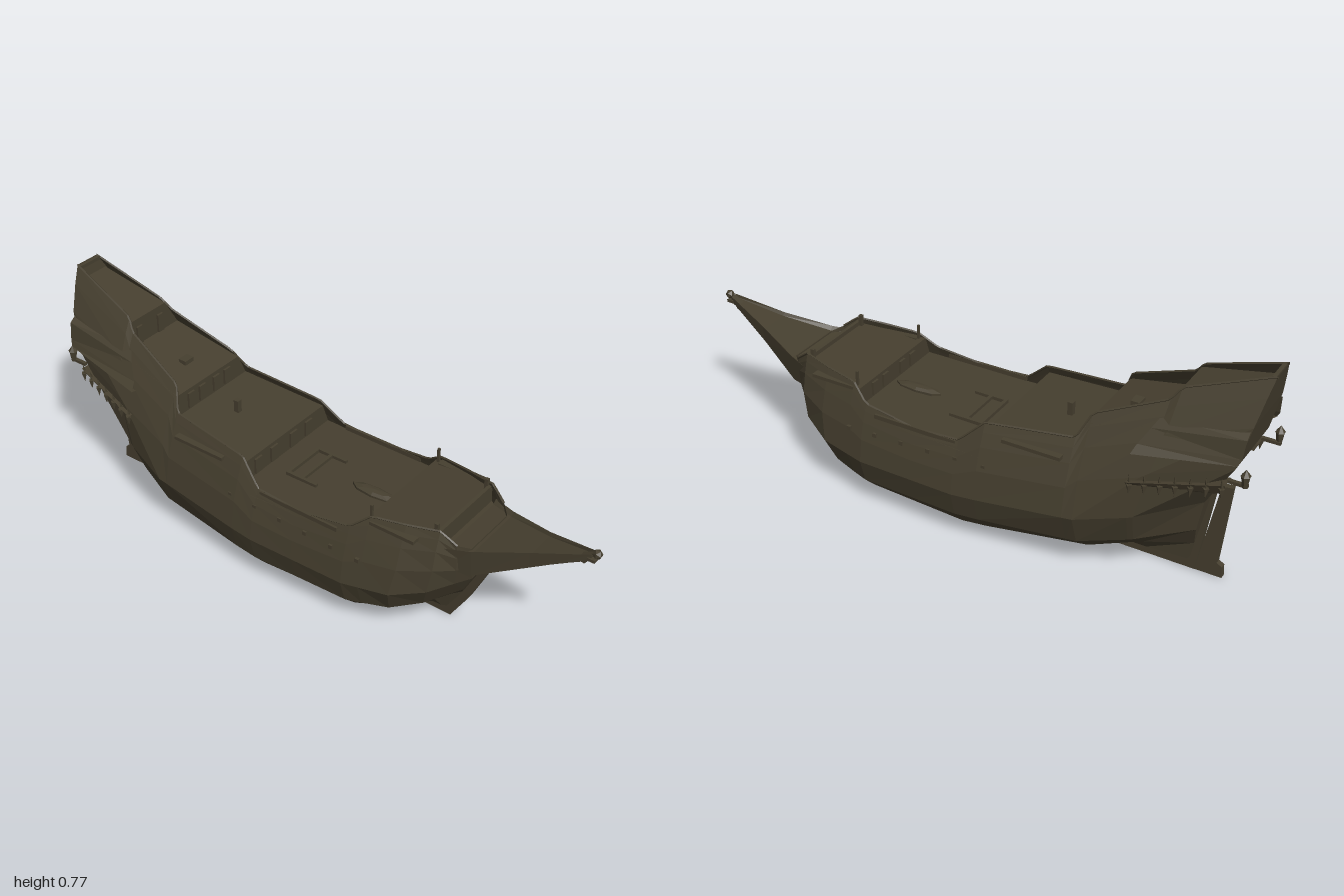
import * as THREE from 'three';

const wood = new THREE.MeshStandardMaterial({ color: 0x463f2f, flatShading: true, side: THREE.DoubleSide });
wood.name = 'darkWood';

// Stepped rail: x, height, half width
const RAIL = [[-1, .765, .045], [-.75, .67, .078], [-.725, .63, .095], [-.49, .535, .135], [-.455, .46, .175],
  [-.16, .43, .2], [-.08, .355, .225], [.08, .345, .226], [.27, .37, .215], [.33, .42, .19],
  [.44, .43, .17], [.54, .44, .145], [.59, .4, .13], [.62, .385, .1]];
// Lower body: x, floor half width, floor height, beam half width, beam height, flare above the beam
const BODY = [[-1, .015, .1, .07, .3, .07], [-.74, .06, .075, .203, .26, .018], [-.49, .13, .05, .25, .22, 0],
  [-.1, .205, .037, .276, .18, 0], [.27, .18, .035, .263, .175, 0], [.44, .11, .045, .235, .19, 0],
  [.54, .05, .075, .183, .22, .005], [.62, .012, .12, .075, .25, .01]];
// Decks and the upright bulkheads between them: x, height, half width
const DECKS = [[-.985, .715, .066], [-.73, .655, .082], [-.73, .56, .136], [-.475, .503, .153], [-.475, .425, .19],
  [-.16, .4, .213], [-.16, .325, .242], [.31, .335, .222], [.31, .4, .2], [.545, .42, .147],
  [.545, .37, .15], [.625, .365, .1]];
// Rake of stern and stem: height, x
const STERN = [[.03, -.78], [.33, -.84], [.38, -.87], [.46, -.93], [.57, -.96], [.765, -1]];
const BOW = [[.03, .51], [.12, .56], [.2, .6], [.26, .63], [.5, .63]];

function lookUp(table, key, column = 1) {
  let i = 0;
  while (i < table.length - 2 && key > table[i + 1][0]) i++;
  const [a, b] = [table[i], table[i + 1]];
  return a[column] + (b[column] - a[column]) * (key - a[0]) / (b[0] - a[0]);
}

// Half section from keel to rail, with rounded bilge and tumblehome
const stations = RAIL.map(([x, railY, railW]) => {
  const [floorW, floorY, beamW, beamY, flare] = [1, 2, 3, 4, 5].map(c => lookUp(BODY, x, c));
  const upper = [0, .4, .7, .88, 1].map(f => [
    beamW + (railW - beamW) * f ** 1.6 + flare * Math.sin(Math.PI * f),
    beamY + (railY - beamY) * f]);
  const bilge = [floorW + (beamW - floorW) * .7, floorY + (beamY - floorY) * .4];
  return { x, section: [[Math.min(.02, floorW * .7), .03], [floorW, floorY], bilge, ...upper] };
});

// Rakes the ends of the hull to the slope of the stern and stem
function place(x, z, y) {
  if (x < -.5) x = -.5 + (x + .5) / -.5 * (lookUp(STERN, y) + .5);
  if (x > .3) x = .3 + (x - .3) / .32 * (lookUp(BOW, y) - .3);
  return [x, y, z];
}

function named(name, geometry, x = 0, y = 0, z = 0) {
  const m = new THREE.Mesh(geometry, wood);
  m.name = name;
  m.position.set(x, y, z);
  return m;
}
const box = (name, w, h, d, x, y, z) => named(name, new THREE.BoxGeometry(w, h, d), x, y, z);

// Surface through rows of points
function loft(name, rows) {
  const n = rows[0].length, idx = [];
  for (let i = 0; i < rows.length - 1; i++)
    for (let j = 0; j < n - 1; j++) {
      const a = i * n + j, b = a + n;
      idx.push(a, b, a + 1, a + 1, b, b + 1);
    }
  const g = new THREE.BufferGeometry();
  g.setAttribute('position', new THREE.Float32BufferAttribute(rows.flat(2), 3));
  g.setIndex(idx);
  g.computeVertexNormals();
  return named(name, g);
}

// Flat timber cut from an outline in the centre plane
function timber(name, pts, depth) {
  const shape = new THREE.Shape(pts.map(p => new THREE.Vector2(...p)));
  const g = new THREE.ExtrudeGeometry(shape, { depth, bevelEnabled: false });
  return named(name, g.translate(0, 0, -depth / 2));
}

export function createModel() {
  const ship = new THREE.Group();
  ship.name = 'shipHull';
  const add = (...m) => ship.add(...m);

  // Hull planking, end closures and stepped decks
  const half = (s, k) => s.section.map(([z, y]) => place(s.x, z * k, y));
  for (const k of [1, -1]) add(loft(k > 0 ? 'leftHull' : 'rightHull', stations.map(s => half(s, k))));
  add(loft('hullBottom', [1, -1].map(k => stations.map(s => half(s, k)[0]))));
  add(loft('transom', [1, -1].map(k => half(stations[0], k))));
  add(loft('bowFront', [1, -1].map(k => half(stations.at(-1), k))));
  add(loft('decks', [1, -1].map(k => DECKS.map(([x, y, w]) => [x, y, w * k]))));

  // Cap rails
  for (const k of [1, -1]) {
    const path = new THREE.CurvePath();
    const pts = stations.slice(0, 13).map(s => new THREE.Vector3(...half(s, k).at(-1)));
    for (let i = 1; i < pts.length; i++) path.add(new THREE.LineCurve3(pts[i - 1], pts[i]));
    add(named('capRail', new THREE.TubeGeometry(path, 80, .004, 4)));
  }

  // Keel, stem, sternpost and rudder
  add(timber('keel', [[-.8, 0], [.52, 0], [.58, .1], [.65, .25], [.72, .3], [.97, .455], [.97, .475],
    [.68, .32], [.6, .28], [.5, .06], [-.76, .05], [-.83, .34], [-.85, .34]], .022));
  add(timber('rudder', [[-.89, 0], [-.8, 0], [-.862, .33], [-.897, .335], [-.87, .05], [-.888, .04]], .02));

  // Beakhead tapering to the figurehead
  const beak = [[.56, .385, .15, .26], [.64, .392, .12, .25], [.8, .43, .06, .345], [.97, .478, .012, .455]];
  add(loft('beakhead', beak.map(([x, top, w, low]) => {
    const deck = top - .012, mid = top - (top - low) * .7;
    const side = [[0, deck], [w * .9, deck], [w, top], [w * .9, mid], [.008, low]];
    const mirrored = side.map(([z, y]) => [-z, y]).reverse();
    return [...side, ...mirrored].map(([z, y]) => [x, y, z]);
  })));
  const body = named('figureheadBody', new THREE.ConeGeometry(.015, .07, 6), .965, .465, 0);
  body.rotation.z = -.8;
  add(body, named('figureheadHead', new THREE.IcosahedronGeometry(.016), .983, .478, 0));
  add(box('figureheadArms', .025, .01, .035, .972, .46, 0));

  // Stern galleries, spikes and lanterns on both sides
  for (const k of [1, -1]) {
    add(loft('lowerGallery', [
      [[-.92, .435, .1 * k], [-.64, .39, .17 * k]], [[-.92, .435, .15 * k], [-.64, .39, .22 * k]],
      [[-.9, .39, .13 * k], [-.64, .36, .19 * k]]]));
    add(loft('upperGallery', [
      [[-.965, .64, .08 * k], [-.7, .585, .12 * k]], [[-.965, .595, .137 * k], [-.68, .55, .145 * k]],
      [[-.96, .535, .147 * k], [-.65, .5, .17 * k]], [[-.95, .515, .155 * k], [-.64, .475, .195 * k]],
      [[-.92, .5, .12 * k], [-.64, .47, .17 * k]]]));
    for (let i = 0; i < 7; i++) {
      const t = i / 6, x = -.91 + .26 * t;
      const y = .425 - .04 * t, z = k * (.15 + .06 * t);
      const up = named('gallerySpike', new THREE.ConeGeometry(.007, .04, 4), x, y + .015, z);
      const down = named('galleryPendant', new THREE.ConeGeometry(.011, .035, 4), x, y - .02, z);
      up.rotation.x = k * .2;
      down.rotation.x = Math.PI;
      add(up, down);
    }
    add(named('lantern', new THREE.CylinderGeometry(.014, .008, .04, 6), -.972, .46, .135 * k));
    add(named('lanternCap', new THREE.ConeGeometry(.016, .022, 6), -.972, .49, .135 * k));
    add(box('lanternArm', .06, .01, .012, -.95, .443, .13 * k));

    // Channels and bulwark planks along the sides
    add(box('quarterChannel', .2, .012, .035, -.33, .4, .208 * k));
    add(box('foreChannel', .16, .012, .03, .41, .4, .185 * k));
    add(box('waistPlank', .3, .015, .01, .08, .343, .226 * k));
    for (let i = 0; i < 6; i++) add(box('gunPort', .014, .014, .01, -.18 + .1 * i, .3 - .004 * i, .245 * k));
    add(box('bowPost', .012, .04, .012, .53, .437, .137 * k));
    add(box('foreRailPost', .008, .05, .008, .325, .43, .18 * k));

    // Doors and windows on the deck bulkheads
    add(box('poopDoor', .009, .065, .025, -.727, .595, .05 * k));
    for (const z of [.035, .09]) add(box('quarterWindow', .009, .055, .03, -.472, .462, z * k));
    for (const z of [.05, .13]) add(box('waistDoor', .009, .055, .035, -.157, .36, z * k));
    for (const z of [.05, .11]) add(box('forecastleDoor', .009, .045, .03, .307, .367, z * k));
  }

  // Deck fittings
  for (const z of [.08, -.08]) add(box('hatchSide', .12, .012, .012, -.02, .333, z));
  add(box('hatchEnd', .012, .012, .17, -.075, .333, 0), box('hatchMiddle', .012, .012, .17, -.02, .333, 0));
  const boat = named('deckBoat', new THREE.SphereGeometry(1, 8, 5), .21, .336, 0);
  boat.scale.set(.09, .014, .025);
  add(boat);
  add(box('capstan', .018, .045, .018, -.35, .437, 0), box('skylight', .03, .015, .04, -.57, .53, 0));
  add(box('forecastleBeam', .012, .018, .28, .54, .425, 0), box('sternBeam', .012, .012, .09, -.99, .758, 0));
  return ship;
}
